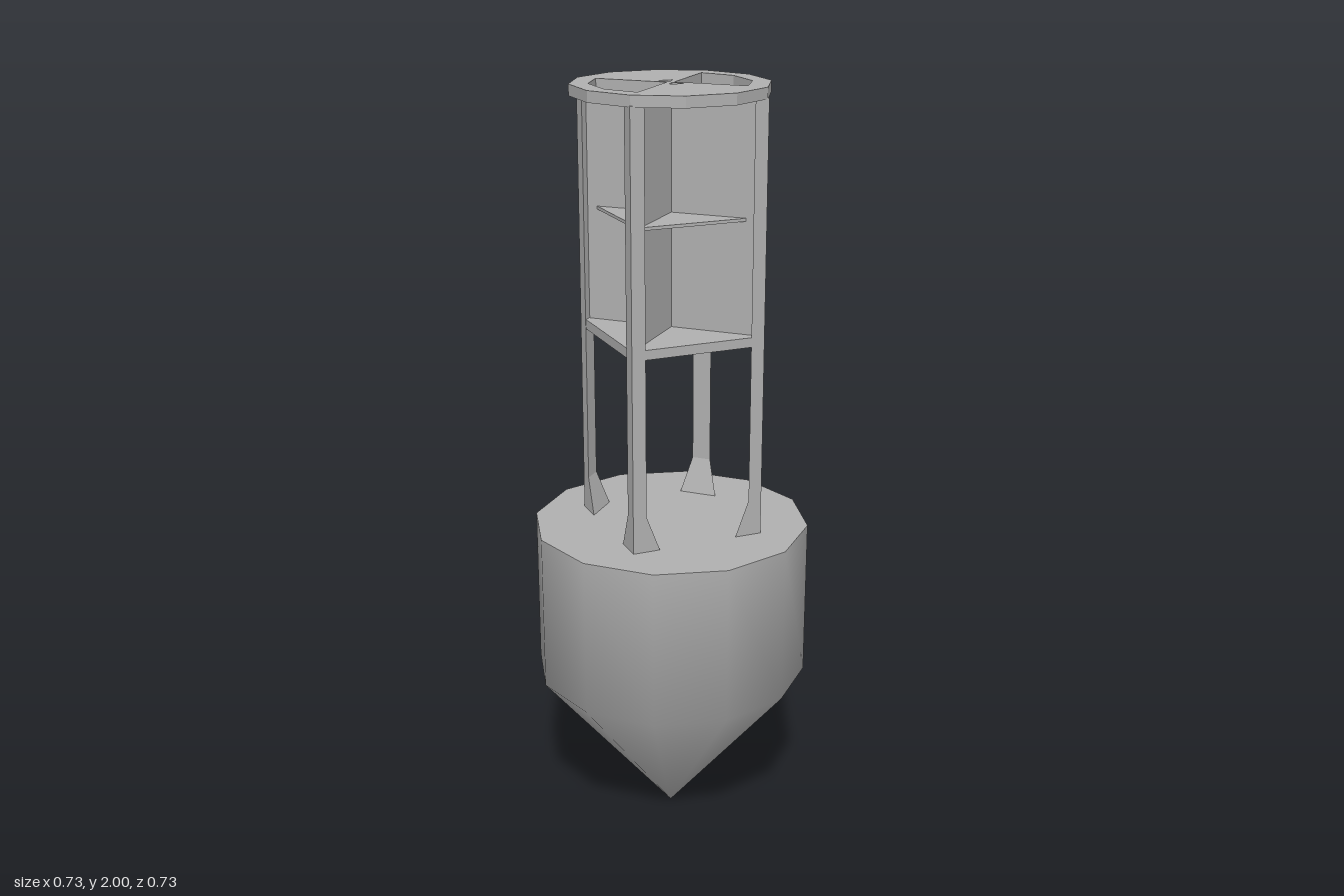
import * as THREE from 'three';

const grey = new THREE.MeshStandardMaterial({ color: 0xb0b0b0 });
grey.name = 'grey';

function part(name, geometry, y = 0) {
  const mesh = new THREE.Mesh(geometry, grey);
  mesh.name = name;
  mesh.position.y = y;
  return mesh;
}

// Triangular post with its square corner outwards; sections are [y, leg length]
function postGeometry(corner, sections) {
  const rings = sections.map(([y, s]) => [
    new THREE.Vector3(corner, y, corner),
    new THREE.Vector3(corner, y, corner - s),
    new THREE.Vector3(corner - s, y, corner),
  ]);
  const points = [];
  for (let i = 0; i < rings.length - 1; i++) {
    for (let j = 0; j < 3; j++) {
      const k = (j + 1) % 3;
      const [a, b, c, d] = [rings[i][j], rings[i][k], rings[i + 1][k], rings[i + 1][j]];
      points.push(a, b, c, a, c, d);
    }
  }
  const top = rings[rings.length - 1];
  points.push(top[0], top[1], top[2], rings[0][0], rings[0][2], rings[0][1]);
  const geometry = new THREE.BufferGeometry().setFromPoints(points);
  geometry.computeVertexNormals();
  return geometry;
}

// Twelve-sided cap with side openings and small slots at the centre
function capGeometry(radius, depth) {
  const outline = [];
  for (let i = 0; i < 12; i++) {
    const a = ((i + 0.5) * Math.PI) / 6;
    outline.push(new THREE.Vector2(radius * Math.cos(a), radius * Math.sin(a)));
  }
  const shape = new THREE.Shape(outline);
  const wedge = [[0.01, 0], [0.142, -0.136], [0.193, -0.054], [0.193, 0.054], [0.142, 0.136]];
  const slot = [[0, 0.008], [0.021, 0.037], [-0.021, 0.037]];
  for (const side of [1, -1]) {
    for (const hole of [wedge, slot]) {
      shape.holes.push(new THREE.Path(hole.map(([x, y]) => new THREE.Vector2(x * side, y * side))));
    }
  }
  return new THREE.ExtrudeGeometry(shape, { depth, bevelEnabled: false }).rotateX(-Math.PI / 2);
}

export function createModel() {
  const model = new THREE.Group();
  model.name = 'buoy';

  // Float: pointed below, flat deck above
  const profile = [[0, 0], [0.363, 0.44], [0.363, 0.86]].map(([x, y]) => new THREE.Vector2(x, y));
  model.add(part('float', new THREE.LatheGeometry(profile, 12)));
  model.add(part('deck', new THREE.CircleGeometry(0.363, 12).rotateX(-Math.PI / 2), 0.86));

  // Four posts with flared feet
  const post = postGeometry(0.178, [[0.858, 0.073], [0.955, 0.036], [1.975, 0.036]]);
  for (let i = 0; i < 4; i++) {
    const mesh = part('post', post);
    mesh.rotation.y = (i * Math.PI) / 2;
    model.add(mesh);
  }

  // Platform and middle shelf
  model.add(part('platform', new THREE.BoxGeometry(0.352, 0.025, 0.352), 1.378));
  model.add(part('shelf', new THREE.BoxGeometry(0.285, 0.008, 0.285), 1.68));

  // Crossed reflector panels between opposite posts
  for (const side of [1, -1]) {
    const panel = part('reflectorPanel', new THREE.BoxGeometry(0.45, 0.585, 0.005), 1.6825);
    panel.rotation.y = (side * Math.PI) / 4;
    model.add(panel);
  }

  // Top cap
  model.add(part('cap', capGeometry(0.248, 0.028), 1.972));

  return model;
}
